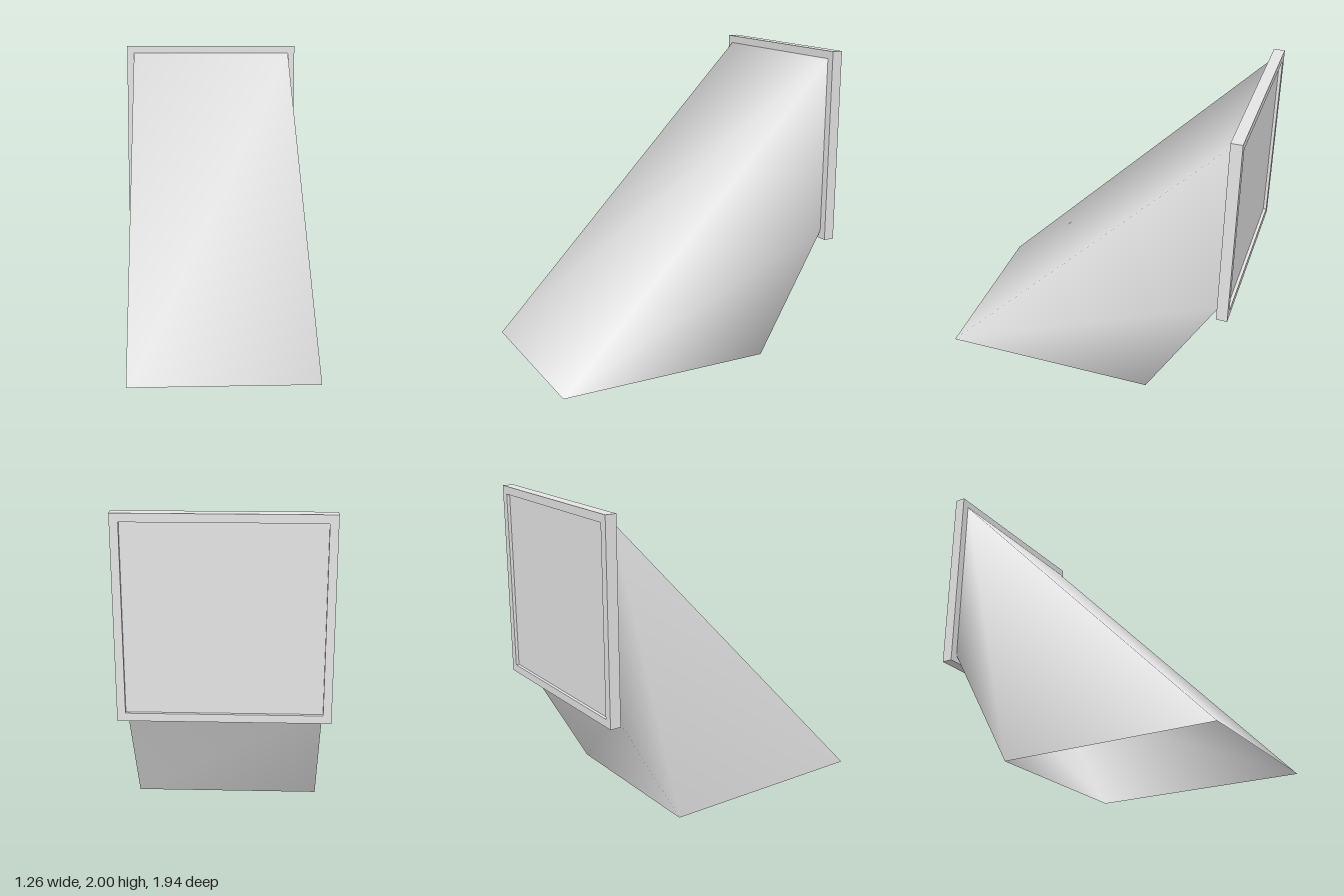
import * as THREE from 'three';

export function createModel() {
  const group = new THREE.Group();
  const paleGrey = new THREE.MeshStandardMaterial({ color: 0xe4e4e4, side: THREE.DoubleSide });
  paleGrey.name = 'paleGrey';

  const add = (name, geometry) => {
    const mesh = new THREE.Mesh(geometry, paleGrey);
    mesh.name = name;
    group.add(mesh);
    return mesh;
  };

  const halfW = 0.58, sill = 0.8, head = 1.95, wallZ = -0.9;

  // Window frame: a rectangular ring standing at the back
  const rect = (target, hw, y0, y1) => {
    target.moveTo(-hw, y0);
    target.lineTo(hw, y0);
    target.lineTo(hw, y1);
    target.lineTo(-hw, y1);
    target.closePath();
    return target;
  };
  const outline = rect(new THREE.Shape(), 0.63, 0.75, 2);
  outline.holes.push(rect(new THREE.Path(), halfW, sill, head));
  add('windowFrame', new THREE.ExtrudeGeometry(outline, { depth: 0.07, bevelEnabled: false }))
    .position.z = -0.97;

  // Pane, slightly recessed from the back of the frame
  add('windowPane', new THREE.BoxGeometry(halfW * 2, head - sill, 0.03))
    .position.set(0, (head + sill) / 2, -0.935);

  // Slanted light shaft: open smooth-shaded tube from the floor to the window
  const floorLoop = [[halfW, 0, 0.97], [halfW, 0, -0.45], [-halfW, 0, -0.45], [-halfW, 0, 0.97]];
  const windowLoop = [[halfW, head, wallZ], [halfW, sill, wallZ], [-halfW, sill, wallZ], [-halfW, head, wallZ]];
  const index = [];
  for (let i = 0; i < 4; i++) {
    const j = (i + 1) % 4;
    index.push(i, j, j + 4, i, j + 4, i + 4);
  }
  const shaft = new THREE.BufferGeometry();
  shaft.setAttribute('position', new THREE.Float32BufferAttribute([...floorLoop, ...windowLoop].flat(), 3));
  shaft.setIndex(index);
  shaft.computeVertexNormals();
  add('lightShaft', shaft);

  return group;
}
